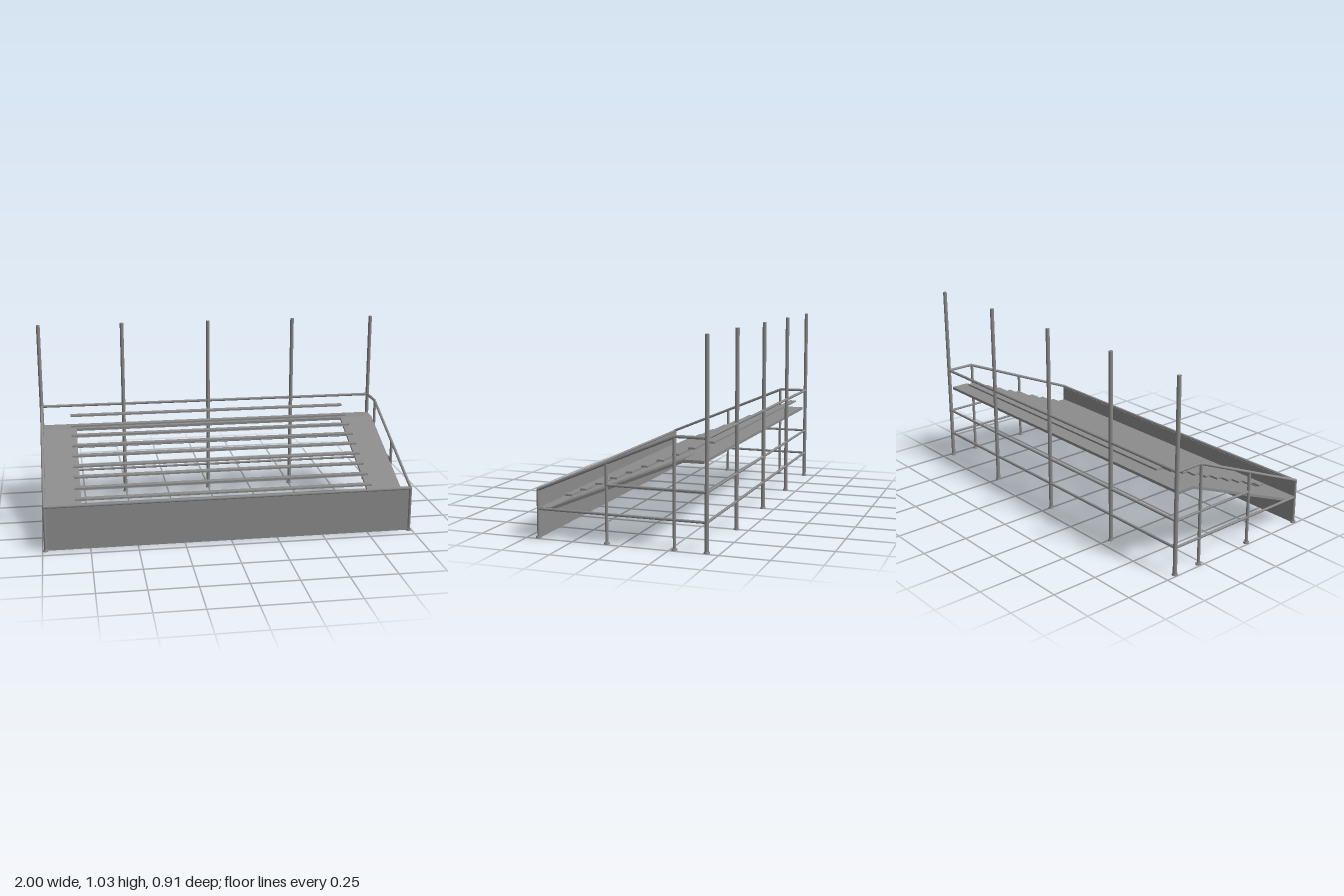
import * as THREE from 'three';

export function createModel() {
  const model = new THREE.Group();
  const mat = new THREE.MeshStandardMaterial({ color: 0x8c8c8c });
  const sheetMat = new THREE.MeshStandardMaterial({ color: 0x8c8c8c, side: THREE.DoubleSide });

  const add = (name, geo, x = 0, y = 0, z = 0, material = mat) => {
    const mesh = new THREE.Mesh(geo, material);
    mesh.name = name;
    mesh.position.set(x, y, z);
    model.add(mesh);
    return mesh;
  };
  const box = (name, w, h, d, x, y, z) => add(name, new THREE.BoxGeometry(w, h, d), x, y, z);

  // Round bar between two points
  const bar = (name, a, b, r) => {
    const p = new THREE.Vector3(...a), q = new THREE.Vector3(...b);
    const dir = q.clone().sub(p);
    const mesh = add(name, new THREE.CylinderGeometry(r, r, dir.length(), 8));
    mesh.position.copy(p).add(q).multiplyScalar(0.5);
    mesh.quaternion.setFromUnitVectors(new THREE.Vector3(0, 1, 0), dir.normalize());
  };
  const elbow = (x, y, z, r) => add('railElbow', new THREE.SphereGeometry(r, 8, 6), x, y, z);

  // Upright with a foot disc
  const post = (name, x, z, h, r) => {
    bar(name, [x, 0, z], [x, h, z], r);
    add('postFoot', new THREE.CylinderGeometry(0.0135, 0.0155, 0.009, 12), x, 0.0045, z);
  };

  const X = 0.984, FRONT = 0.44, BACK = -0.437, R = 0.008;

  // Tall rear posts
  for (const x of [-X, -0.505, 0, 0.505, X]) post('rearPost', x, BACK, 1.03, 0.0108);

  // Side frames
  for (const s of [-1, 1]) {
    const x = s * X;
    post('frontPost', x, FRONT, 0.245, R);
    post('middlePost', x, 0.073, 0.4, R);
    post('upperPost', x, -0.275, 0.548, R);
    bar('slopedHandrail', [x, 0.245, FRONT], [x, 0.548, -0.28], R);
    bar('levelHandrail', [x, 0.548, -0.28], [x, 0.548, BACK], R);
    elbow(x, 0.245, FRONT, R);
    elbow(x, 0.548, -0.28, R);
    bar('lowerSideRail', [x, 0.148, FRONT], [x, 0.148, BACK], 0.007);
    bar('upperSideRail', [x, 0.292, 0.073], [x, 0.292, BACK], 0.007);
  }

  // Cross rails along the rear and the front
  for (const y of [0.148, 0.292, 0.548]) bar('rearRail', [-X, y, BACK], [X, y, BACK], y > 0.5 ? R : 0.007);
  bar('frontRail', [-X, 0.243, FRONT], [X, 0.243, FRONT], R);

  // Front fascia
  box('frontPanel', 2 * X, 0.236, 0.006, 0, 0.119, 0.435);

  // Sloping side decks, as [z, y] sections extruded across x
  const T = 0.0075, inner = 0.787, outer = 0.98;
  const section = [[0.432, 0.148], [0.38, 0.148], [-0.32, 0.432], [-0.42, 0.432]];
  const outline = [
    ...section.map(([z, y]) => new THREE.Vector2(-z, y + T)),
    ...section.slice().reverse().map(([z, y]) => new THREE.Vector2(-z, y - T)),
  ];
  const deckGeo = new THREE.ExtrudeGeometry(new THREE.Shape(outline), { depth: outer - inner, bevelEnabled: false });
  deckGeo.rotateY(Math.PI / 2);
  add('sideDeckLeft', deckGeo, inner);
  add('sideDeckRight', deckGeo, -outer);

  // Level decks joining the two sides
  box('frontDeck', 2 * inner, 2 * T, 0.056, 0, 0.148, 0.404);
  box('topDeck', 2 * inner, 2 * T, 0.1, 0, 0.432, -0.37);

  // Ten bench boards, with a sheet foot tread behind each lower one
  const treadGeo = new THREE.PlaneGeometry(2 * inner, 0.043).rotateX(-Math.PI / 2);
  for (let i = 0; i < 10; i++) {
    const z = i < 9 ? 0.358 - i * 0.0824 : -0.398;
    box('benchBoard', 1.63, 0.0095, 0.036, -0.005, 0.185 + i * 0.0347, z);
    if (i < 8) {
      const tz = z - 0.0412;
      add('footTread', treadGeo, 0, 0.148 + (0.38 - tz) * 0.4057, tz, sheetMat);
    }
  }

  return model;
}
